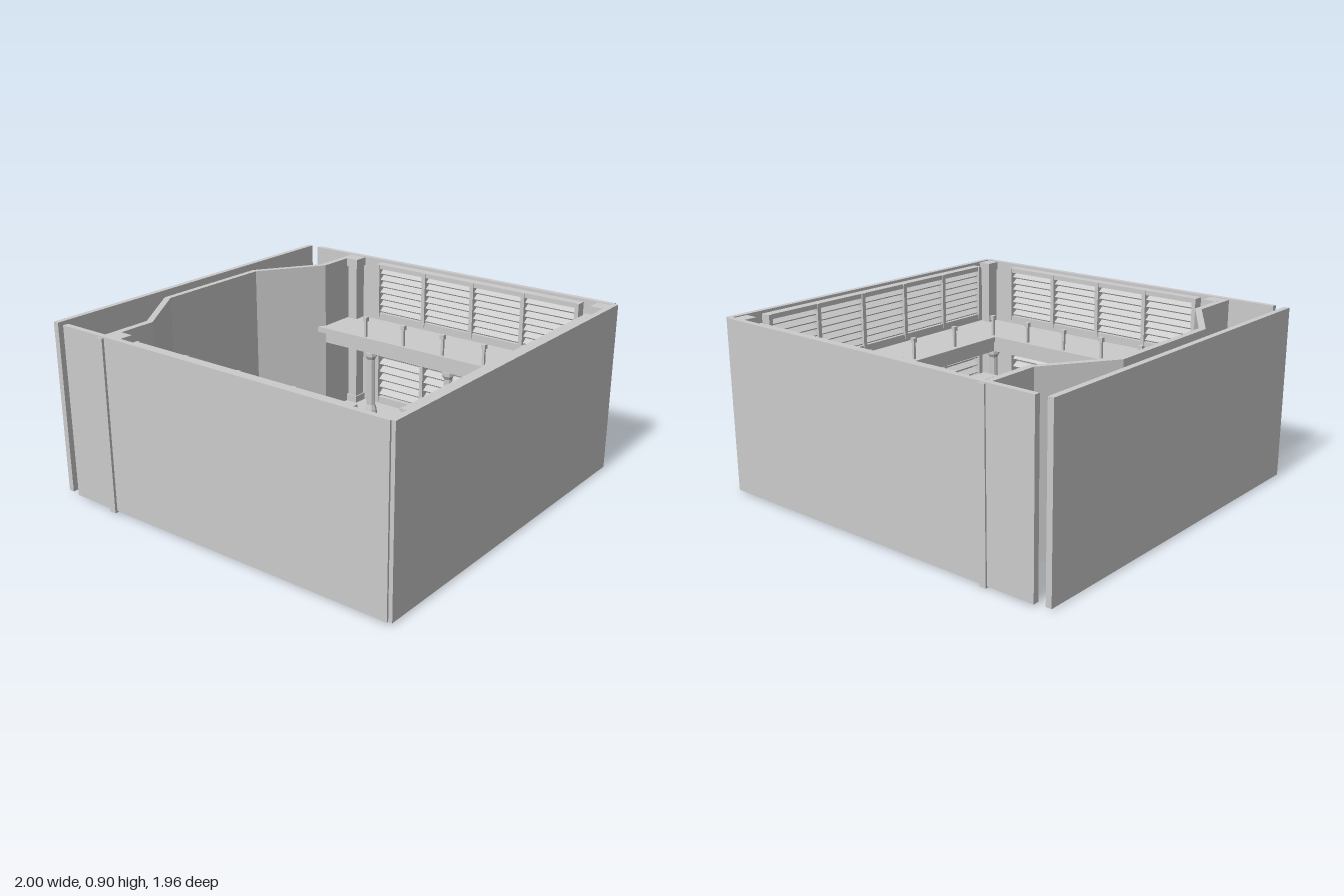
import * as THREE from 'three';

const grey = new THREE.MeshStandardMaterial({ color: 0xcccccc, flatShading: true });

function add(parent, name, geometry, x = 0, y = 0, z = 0) {
  const mesh = new THREE.Mesh(geometry, grey);
  mesh.name = name;
  mesh.position.set(x, y, z);
  parent.add(mesh);
  return mesh;
}

// Box given by its lower and upper limits on each axis
function block(parent, name, x0, x1, y0, y1, z0, z1) {
  return add(parent, name, new THREE.BoxGeometry(x1 - x0, y1 - y0, z1 - z0),
    (x0 + x1) / 2, (y0 + y1) / 2, (z0 + z1) / 2);
}

// Slab cut from a plan outline of [x, z] points
function slab(parent, name, outline, y0, y1) {
  const shape = new THREE.Shape(outline.map(([x, z]) => new THREE.Vector2(x, -z)));
  const g = new THREE.ExtrudeGeometry(shape, { depth: y1 - y0, bevelEnabled: false });
  g.rotateX(-Math.PI / 2);
  return add(parent, name, g, 0, y0, 0);
}

// Framed row of slatted shutters, back at z = 0, facing +z
function shutters(name, bays, y0, y1) {
  const group = new THREE.Group();
  group.name = name;
  const pitch = 0.311, w = bays * pitch, stile = 0.022;
  block(group, 'topRail', -w / 2, w / 2, y1 - 0.025, y1, 0, 0.05);
  block(group, 'bottomRail', -w / 2, w / 2, y0, y0 + 0.025, 0, 0.05);
  for (let i = 0; i <= bays; i++) {
    const x = -w / 2 + i * pitch;
    block(group, 'stile', x - stile / 2, x + stile / 2, y0, y1, 0, 0.055);
  }
  const slats = 7, step = (y1 - y0 - 0.05) / slats;
  for (let i = 0; i < bays; i++) {
    for (let j = 0; j < slats; j++) {
      const s = add(group, 'slat', new THREE.BoxGeometry(pitch - stile, 0.008, 0.042),
        -w / 2 + (i + 0.5) * pitch, y0 + 0.025 + (j + 0.5) * step, 0.024);
      s.rotation.x = 0.6;
    }
  }
  return group;
}

export function createModel() {
  const model = new THREE.Group();
  const top = 0.9;

  // Outer walls
  block(model, 'rightOuterWall', -1, -0.97, 0.01, top, -0.955, 0.955);
  block(model, 'leftOuterWall', 0.97, 1, 0.01, top, -0.955, 0.955);
  block(model, 'backWall', -0.92, 0.98, 0.01, top, -0.97, -0.94);
  block(model, 'frontWall', -0.92, 0.98, 0.01, top, 0.935, 0.965);

  // Angled bay wall
  const outer = [[-0.67, -0.978], [-0.67, -0.665], [-0.89, -0.335], [-0.89, 0.335], [-0.67, 0.665], [-0.67, 0.978]];
  const inner = [[-0.635, -0.978], [-0.635, -0.66], [-0.858, -0.325], [-0.858, 0.325], [-0.635, 0.66], [-0.635, 0.978]];
  slab(model, 'bayWall', [...outer, ...inner.slice().reverse()], 0.002, 0.895);

  // Floor follows the bay
  slab(model, 'floor', [[-0.65, -0.95], [-0.65, -0.66], [-0.875, -0.33], [-0.875, 0.33], [-0.65, 0.66],
    [-0.65, 0.95], [0.98, 0.95], [0.98, -0.95]], 0.008, 0.02);

  // Corner pillars with caps and bases
  for (const x of [-0.6, 0.932]) {
    for (const z of [-0.9, 0.9]) {
      const pillar = new THREE.Group();
      pillar.name = 'cornerPillar';
      add(pillar, 'shaft', new THREE.BoxGeometry(0.058, 0.87, 0.068), 0, 0.445, 0);
      add(pillar, 'cap', new THREE.BoxGeometry(0.072, 0.045, 0.085), 0, 0.873, 0);
      add(pillar, 'base', new THREE.BoxGeometry(0.072, 0.06, 0.085), 0, 0.03, 0);
      pillar.position.set(x, 0, z);
      model.add(pillar);
    }
  }

  // Shutters on both storeys of three walls
  for (const [storey, y0, y1] of [['lower', 0.06, 0.44], ['upper', 0.575, 0.885]]) {
    const back = shutters(storey + 'BackShutters', 4, y0, y1);
    back.position.set(0.187, 0, -0.94);
    const front = shutters(storey + 'FrontShutters', 4, y0, y1);
    front.position.set(0.128, 0, 0.935);
    front.rotation.y = Math.PI;
    const side = shutters(storey + 'SideShutters', 5, y0, y1);
    side.position.set(0.97, 0, 0.022);
    side.rotation.y = -Math.PI / 2;
    model.add(back, front, side);
  }

  // U-shaped gallery floor and the beams under it
  slab(model, 'galleryFloor', [[-0.662, -0.62], [-0.64, -0.66], [-0.64, -0.945], [0.975, -0.945], [0.975, 0.94],
    [-0.64, 0.94], [-0.64, 0.66], [-0.662, 0.62], [0.645, 0.62], [0.645, -0.62]], 0.51, 0.54);
  for (const s of [-1, 1]) {
    const b = s * 0.68;
    block(model, 'galleryBeam', -0.635, 0.73, 0.44, 0.51, b - 0.02, b + 0.02);
  }
  block(model, 'sideGalleryBeam', 0.69, 0.73, 0.44, 0.51, -0.66, 0.66);

  // Columns with flared feet
  const profile = [[0, 0.02], [0.046, 0.02], [0.046, 0.045], [0.038, 0.06], [0.034, 0.1], [0.025, 0.13],
    [0.023, 0.4], [0.034, 0.42], [0.034, 0.44], [0, 0.44]].map(([r, y]) => new THREE.Vector2(r, y));
  const columnSpots = [[0.71, 0]];
  for (const x of [-0.325, 0.19, 0.71]) columnSpots.push([x, -0.68], [x, 0.68]);
  for (const [x, z] of columnSpots) add(model, 'column', new THREE.LatheGeometry(profile, 8), x, 0, z);

  // Railing posts around the gallery opening
  const postSpots = [[0.68, -0.325], [0.68, -0.005], [0.68, 0.315]];
  for (let i = 0; i < 5; i++) {
    const x = -0.335 + i * 0.254;
    postSpots.push([x, -0.64], [x, 0.645]);
  }
  for (const [x, z] of postSpots) {
    const post = new THREE.Group();
    post.name = 'railingPost';
    add(post, 'stem', new THREE.BoxGeometry(0.014, 0.11, 0.014), 0, 0.59, 0);
    add(post, 'knob', new THREE.BoxGeometry(0.024, 0.025, 0.024), 0, 0.643, 0);
    post.position.set(x, 0, z);
    model.add(post);
  }
  return model;
}
